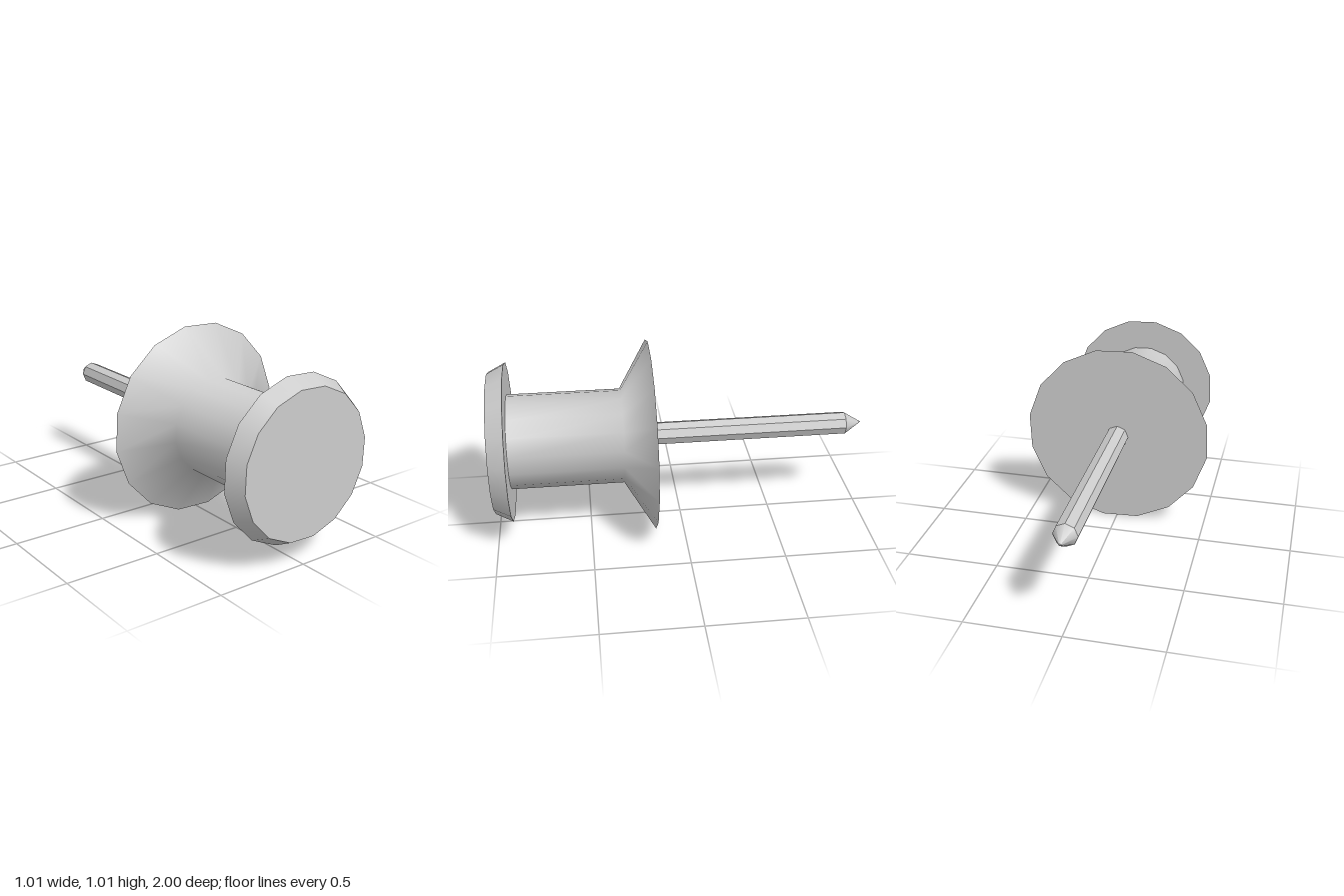
import * as THREE from 'three';

const smooth = new THREE.MeshStandardMaterial({ color: 0xcccccc });
const faceted = new THREE.MeshStandardMaterial({ color: 0xcccccc, flatShading: true });

const CENTRE_Y = 0.507;
const TWIST = THREE.MathUtils.degToRad(9);

// Turns a [radius, z] profile, listed from back to front, about the z axis
function turned(name, profile, sides, material, twist) {
  const points = profile.map(([r, z]) => new THREE.Vector2(r, z));
  const geometry = new THREE.LatheGeometry(points, sides, twist);
  geometry.rotateX(Math.PI / 2);
  const mesh = new THREE.Mesh(geometry, material);
  mesh.name = name;
  mesh.position.y = CENTRE_Y;
  return mesh;
}

export function createModel() {
  const model = new THREE.Group();
  model.name = 'pushPin';

  // Grip and flared collar blend smoothly; flat back closes the collar
  model.add(turned('gripAndCollar', [[0.51, 0.16], [0.252, 0.315], [0.252, 0.91]], 16, smooth, TWIST));
  model.add(turned('collarBack', [[0, 0.16], [0.51, 0.16]], 16, smooth, TWIST));

  // Head: flat back ring, tapering rim, flat front
  const head = new THREE.Group();
  head.name = 'head';
  head.add(turned('headBack', [[0.252, 0.91], [0.423, 0.91]], 16, smooth, TWIST));
  head.add(turned('headRim', [[0.423, 0.91], [0.377, 1]], 16, smooth, TWIST));
  head.add(turned('headFront', [[0.377, 1], [0, 1]], 16, smooth, TWIST));
  model.add(head);

  // Needle with a pointed tip
  model.add(turned('needle', [[0.062, -0.905], [0.062, 0.16]], 8, faceted, 0));
  model.add(turned('needleTip', [[0, -1], [0.062, -0.905]], 8, smooth, 0));

  return model;
}
